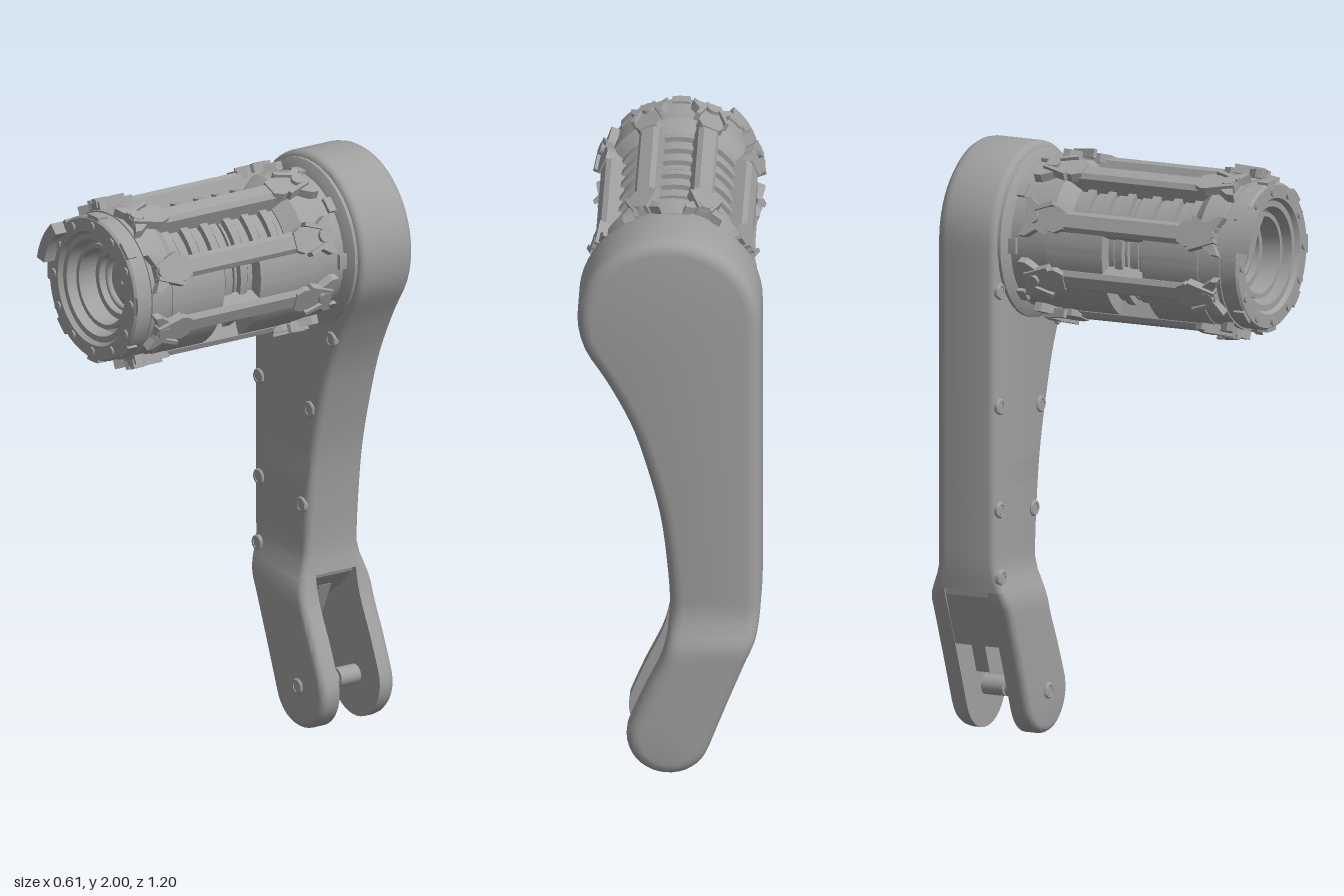
import * as THREE from 'three';
import { toCreasedNormals } from 'three/addons/utils/BufferGeometryUtils.js';

const CY = 1.695, HEAD = 0.305, TIP = 0.14;   // barrel axis height, head radius, tip radius
const SLOT_TOP = 0.52, SLOT_F = -0.36, SLOT_B = -0.525;
const { lerp, smoothstep, degToRad: rad } = THREE.MathUtils;

// Smooth x-by-y lookup through a few (x, y) points
function edge(points) {
  const pts = new THREE.SplineCurve(points.map(p => new THREE.Vector2(...p))).getPoints(300);
  return y => {
    let i = 1;
    while (i < pts.length - 1 && pts[i].y < y) i++;
    const a = pts[i - 1], b = pts[i];
    return lerp(a.x, b.x, (y - a.y) / (b.y - a.y));
  };
}

// Outline of the arm as rows with matching left and right points
function armRows() {
  const leftEdge = edge([[-0.131, 0.09], [-0.19, 0.25], [-0.255, 0.42], [-0.288, 0.5], [-0.303, 0.6],
    [-0.305, 0.75], [-0.305, 1.2], [-0.305, CY]]);
  const rightEdge = edge([[0.132, 0.186], [0.085, 0.3], [0.03, 0.42], [0.008, 0.5], [-0.003, 0.6],
    [0.005, 0.75], [0.03, 0.95], [0.08, 1.15], [0.13, 1.3], [0.205, 1.45], [0.268, 1.55]]);
  const tip = y => Math.sqrt(Math.max(0, TIP ** 2 - (y - TIP) ** 2));
  const head = y => Math.sqrt(Math.max(0, HEAD ** 2 - (y - CY) ** 2));
  const ys = [];
  for (let i = 0; i < 9; i++) ys.push(TIP - TIP * Math.cos(rad(5 + i * 85 / 9)));
  for (let i = 0; i < 12; i++) ys.push(lerp(TIP, SLOT_TOP, i / 12));
  for (let i = 0; i < 30; i++) ys.push(lerp(SLOT_TOP, CY, i / 30));
  for (let i = 0; i <= 14; i++) ys.push(CY + HEAD * Math.sin(rad(i * 86 / 14)));
  const right = ys.map(y => [y < 0.186 ? tip(y) : y > 1.55 ? head(y) : rightEdge(y), y]);
  const left = ys.map(y => [y < 0.09 ? -tip(y) : y > CY ? -head(y) : leftEdge(y), y]);
  const ring = [...right, ...left.slice().reverse()], n = ring.length;
  const points = ring.map(([x, y], i) => {
    const a = ring[(i + n - 1) % n], b = ring[(i + 1) % n];
    const dx = b[0] - a[0], dy = b[1] - a[1], l = Math.hypot(dx, dy);
    return { x, y, nx: dy / l, ny: -dx / l };
  });
  return { right: points.slice(0, ys.length), left: points.slice(ys.length).reverse() };
}

// Solid from the outline rows that pass the test, lofted through inset layers front to back
function loft(rows, keep, layers) {
  const R = rows.right.filter(p => keep(p.y)), L = rows.left.filter(p => keep(p.y));
  const ring = [...R, ...L.reverse()], n = ring.length, m = R.length, pos = [], index = [];
  for (const { d, z } of layers) for (const p of ring) pos.push(p.x - p.nx * d, p.y - p.ny * d, z(p.y));
  const quad = (a, b, c, d) => index.push(a, b, c, a, c, d);
  const last = (layers.length - 1) * n;
  for (let i = 0; i < m - 1; i++) {
    quad(i, i + 1, n - 2 - i, n - 1 - i);
    quad(last + n - 1 - i, last + n - 2 - i, last + i + 1, last + i);
  }
  for (let k = 0; k < layers.length - 1; k++) for (let i = 0; i < n; i++) {
    const j = (i + 1) % n;
    quad(k * n + i, (k + 1) * n + i, (k + 1) * n + j, k * n + j);
  }
  const g = new THREE.BufferGeometry();
  g.setAttribute('position', new THREE.Float32BufferAttribute(pos, 3));
  g.setIndex(index);
  return toCreasedNormals(g, 0.65);
}

// Rounded rim: sign +1 for the front edge, -1 for the back edge
function rim(r, z, sign) {
  const out = [];
  for (let i = 0; i <= 4; i++) {
    const a = i / 4 * Math.PI / 2;
    out.push({ d: r * (1 - Math.sin(a)), z: y => z(y) - sign * r * (1 - Math.cos(a)) });
  }
  return sign > 0 ? out : out.reverse();
}

function prism(points, z0, z1) {
  const shape = new THREE.Shape(points.map(p => new THREE.Vector2(...p)));
  return new THREE.ExtrudeGeometry(shape, { depth: z1 - z0, bevelEnabled: false }).translate(0, 0, z0);
}

// Curved slab around the z axis; angles in degrees from +x
function sector(r0, r1, a0, a1, z0, z1) {
  const s = new THREE.Shape();
  s.absarc(0, 0, r1, rad(a0), rad(a1), false);
  s.absarc(0, 0, r0, rad(a1), rad(a0), true);
  const g = new THREE.ExtrudeGeometry(s, { depth: z1 - z0, bevelEnabled: false, curveSegments: 8 });
  return toCreasedNormals(g.translate(0, 0, z0), 0.5);
}

// Turned part around the z axis from [radius, z] points
function turned(points, sides = 48) {
  const g = new THREE.LatheGeometry(points.map(p => new THREE.Vector2(...p)), sides);
  return toCreasedNormals(g.rotateX(Math.PI / 2), 0.5);
}

export function createModel() {
  const model = new THREE.Group();
  const metal = new THREE.MeshStandardMaterial({ color: 0xa0a0a0 });
  metal.name = 'grey metal';
  metal.side = THREE.DoubleSide;
  const add = (parent, name, geometry) => {
    const mesh = new THREE.Mesh(geometry, metal);
    mesh.name = name;
    parent.add(mesh);
    return mesh;
  };
  const group = (name) => {
    const g = new THREE.Group();
    g.name = name;
    model.add(g);
    return g;
  };

  // Arm and forked end
  const arm = group('arm');
  const rows = armRows();
  const widen = y => 1 - smoothstep(y, 0.45, 0.61);
  const front = y => lerp(-0.328, -0.29, widen(y)), back = y => lerp(-0.556, -0.6, widen(y));
  const frontRim = rim(0.025, front, 1), backRim = rim(0.045, back, -1);
  const above = y => y > SLOT_TOP - 1e-4, below = y => y < SLOT_TOP + 1e-4;
  add(arm, 'armBody', loft(rows, above, [...frontRim, ...backRim]));
  add(arm, 'frontProng', loft(rows, below, [...frontRim, { d: 0, z: () => SLOT_F }]));
  add(arm, 'backProng', loft(rows, below, [{ d: 0, z: () => SLOT_B }, ...backRim]));
  add(arm, 'forkWeb', prism([[-0.01, 0.53], [-0.02, 0.5], [-0.08, 0.44], [-0.16, 0.38], [-0.214, 0.32],
    [-0.245, 0.4], [-0.282, 0.5], [-0.285, 0.53]], SLOT_B, SLOT_F));
  add(arm, 'forkRib', prism([[-0.05, 0.46], [-0.1, 0.35], [-0.14, 0.24], [-0.178, 0.225], [-0.24, 0.4]], -0.465, -0.415));
  for (const z of [-0.395, -0.488]) {
    add(arm, 'forkPin', new THREE.CylinderGeometry(0.034, 0.034, 0.085, 20).rotateX(Math.PI / 2)).position.set(0, 0.145, z);
  }

  // Screws on the front face: a raised rim around a hexagonal core
  const screws = [[-0.27, 1.54], [-0.27, 1.15], [-0.27, 0.8], [-0.27, 0.57], [0.137, 1.385], [0.015, 1.11],
    [-0.03, 0.765], [0, 0.145]];
  for (const [x, y] of screws) {
    const screw = new THREE.Group();
    screw.name = 'armScrew';
    screw.position.set(x, y, front(y));
    add(screw, 'screwRim', turned([[0.017, -0.01], [0.028, -0.01], [0.028, 0.004], [0.024, 0.008], [0.017, 0.008], [0.017, -0.01]], 20));
    add(screw, 'screwCore', new THREE.CylinderGeometry(0.017, 0.017, 0.012, 6).rotateX(Math.PI / 2));
    arm.add(screw);
  }

  // Barrel
  const barrel = group('barrel');
  barrel.position.y = CY;
  add(barrel, 'collar', turned([[0, -0.34], [0.285, -0.34], [0.285, -0.318], [0.262, -0.305], [0.245, -0.3],
    [0.245, -0.24], [0, -0.24]]));
  add(barrel, 'rearBand', turned([[0, -0.25], [0.252, -0.25], [0.255, -0.15], [0.215, -0.1], [0, -0.1]]));
  add(barrel, 'frontBand', turned([[0.16, 0.35], [0.215, 0.35], [0.255, 0.4], [0.252, 0.49], [0.16, 0.49]]));

  // Ribbed core halves with a narrow gap between them
  const ribbed = (z0, z1, steps) => {
    const p = [[0, z0]];
    for (let i = 0; i < steps; i++) {
      const a = lerp(z0, z1, i / steps), b = lerp(z0, z1, (i + 0.75) / steps), r = i % 2 ? 0.222 : 0.21;
      p.push([r, a], [r, b], [0.2, b], [0.2, lerp(z0, z1, (i + 1) / steps)]);
    }
    return turned([...p, [0, z1]]);
  };
  add(barrel, 'rearCore', ribbed(-0.11, 0.115, 6));
  add(barrel, 'frontCore', ribbed(0.13, 0.37, 6));
  add(barrel, 'shaft', new THREE.CylinderGeometry(0.11, 0.11, 0.06, 32).rotateX(Math.PI / 2)).position.z = 0.12;

  // Open front end with stepped bore and small bolts
  add(barrel, 'endRing', turned([[0.2, 0.48], [0.247, 0.48], [0.247, 0.547], [0.24, 0.555], [0.195, 0.555], [0.185, 0.54],
    [0.165, 0.54], [0.16, 0.49], [0.145, 0.48], [0.145, 0.515], [0.13, 0.515], [0.125, 0.45], [0.105, 0.45],
    [0.1, 0.4], [0, 0.4]]));
  add(barrel, 'boreRing', new THREE.TorusGeometry(0.095, 0.01, 8, 40)).position.z = 0.42;
  add(barrel, 'boreCap', turned([[0.075, 0.4], [0.075, 0.42], [0.06, 0.43], [0.01, 0.43], [0, 0.42]]));
  for (let i = 0; i < 12; i++) {
    const a = rad(i * 30), bolt = new THREE.CylinderGeometry(0.016, 0.016, 0.02, 6).rotateX(Math.PI / 2);
    add(barrel, 'endBolt', bolt).position.set(0.218 * Math.cos(a), 0.218 * Math.sin(a), 0.552);
  }
  add(barrel, 'endLatch', sector(0.215, 0.256, 132, 168, 0.53, 0.6));

  // Bars, corner clips, side panels and rim blocks around the barrel
  const clip = prism([[-0.065, -0.06], [-0.03, -0.04], [0.03, -0.04], [0.065, -0.06], [0.065, -0.035], [0.034, 0.01],
    [0.045, 0.07], [0.03, 0.1], [-0.03, 0.1], [-0.045, 0.07], [-0.034, 0.01], [-0.065, -0.035]], 0, 0.03);
  for (let k = 0; k < 8; k++) {
    const side = new THREE.Group();
    side.name = 'barrelSide';
    side.rotation.z = rad(22.5 + 45 * k) - Math.PI / 2;
    barrel.add(side);
    add(side, 'longBar', prism([[-0.036, 0.2], [0.036, 0.2], [0.036, 0.258], [0.022, 0.272], [-0.022, 0.272], [-0.036, 0.258]], -0.2, 0.44));
    for (const s of [-1, 1]) {
      const corner = new THREE.Group();
      corner.name = 'cornerClip';
      corner.position.set(0, 0.247, s < 0 ? -0.195 : 0.435);
      corner.rotation.y = s < 0 ? 0 : Math.PI;
      add(corner, 'clipPlate', clip.clone().rotateX(Math.PI / 2).translate(0, 0.03, 0));
      for (const m of [-1, 1]) {
        const rib = add(corner, 'clipRib', new THREE.BoxGeometry(0.014, 0.03, 0.1));
        rib.position.set(m * 0.035, 0.026, 0.005);
        rib.rotation.y = m * 0.35;
      }
      add(corner, 'clipBolt', new THREE.CylinderGeometry(0.024, 0.024, 0.03, 8)).position.set(0, 0.028, -0.015);
      barrel.add(corner);
      side.add(corner);
    }
    const a = 45 * k;
    if (a === 0 || a > 135) {
      add(barrel, 'rearPanel', sector(0.2, 0.258, a - 17, a + 17, -0.16, 0.05));
      add(barrel, 'frontPanel', sector(0.2, 0.258, a - 17, a + 17, 0.2, 0.41));
    }
    add(barrel, 'rearBlock', sector(0.23, 0.258, a - 6, a + 6, -0.33, -0.275));
    add(barrel, 'frontBlock', sector(0.23, 0.255, a - 7, a + 7, 0.515, 0.553));
  }
  return model;
}
